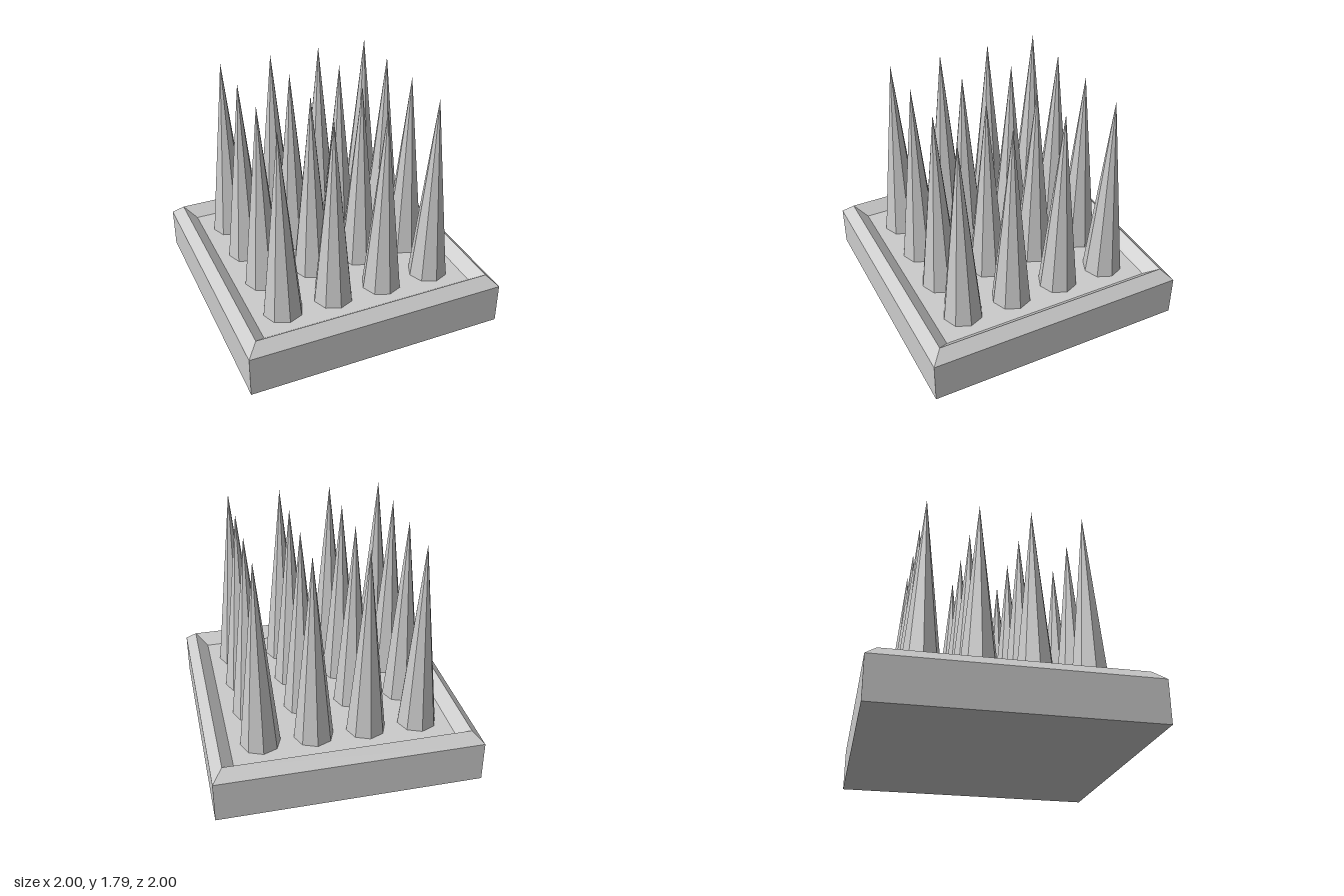
import * as THREE from 'three';

const FLOOR = 0.32;
const TIP = 1.79;

export function createModel() {
  const model = new THREE.Group();
  model.name = 'spikeTrap';
  const material = new THREE.MeshStandardMaterial({ color: 0xcccccc, flatShading: true });

  // Square tray: a four-sided lathe of [half width, height] with a bevelled rim
  const profile = [[0, 0], [1, 0], [1, 0.32], [0.92, 0.4], [0.83, FLOOR], [0, FLOOR]]
    .map(([half, y]) => new THREE.Vector2(half * Math.SQRT2, y));
  const base = new THREE.Mesh(new THREE.LatheGeometry(profile, 4, Math.PI / 4), material);
  base.name = 'base';
  model.add(base);

  // Four by four grid of eight-sided spikes standing on the tray floor
  const spikes = new THREE.Group();
  spikes.name = 'spikes';
  const spikeGeometry = new THREE.ConeGeometry(0.15, TIP - FLOOR, 8);
  spikeGeometry.translate(0, (TIP + FLOOR) / 2, 0);
  for (let row = 0; row < 4; row++) {
    for (let col = 0; col < 4; col++) {
      const spike = new THREE.Mesh(spikeGeometry, material);
      spike.name = `spike${row * 4 + col + 1}`;
      spike.position.set(-0.6 + col * 0.4, 0, -0.6 + row * 0.4);
      spikes.add(spike);
    }
  }
  model.add(spikes);

  return model;
}
